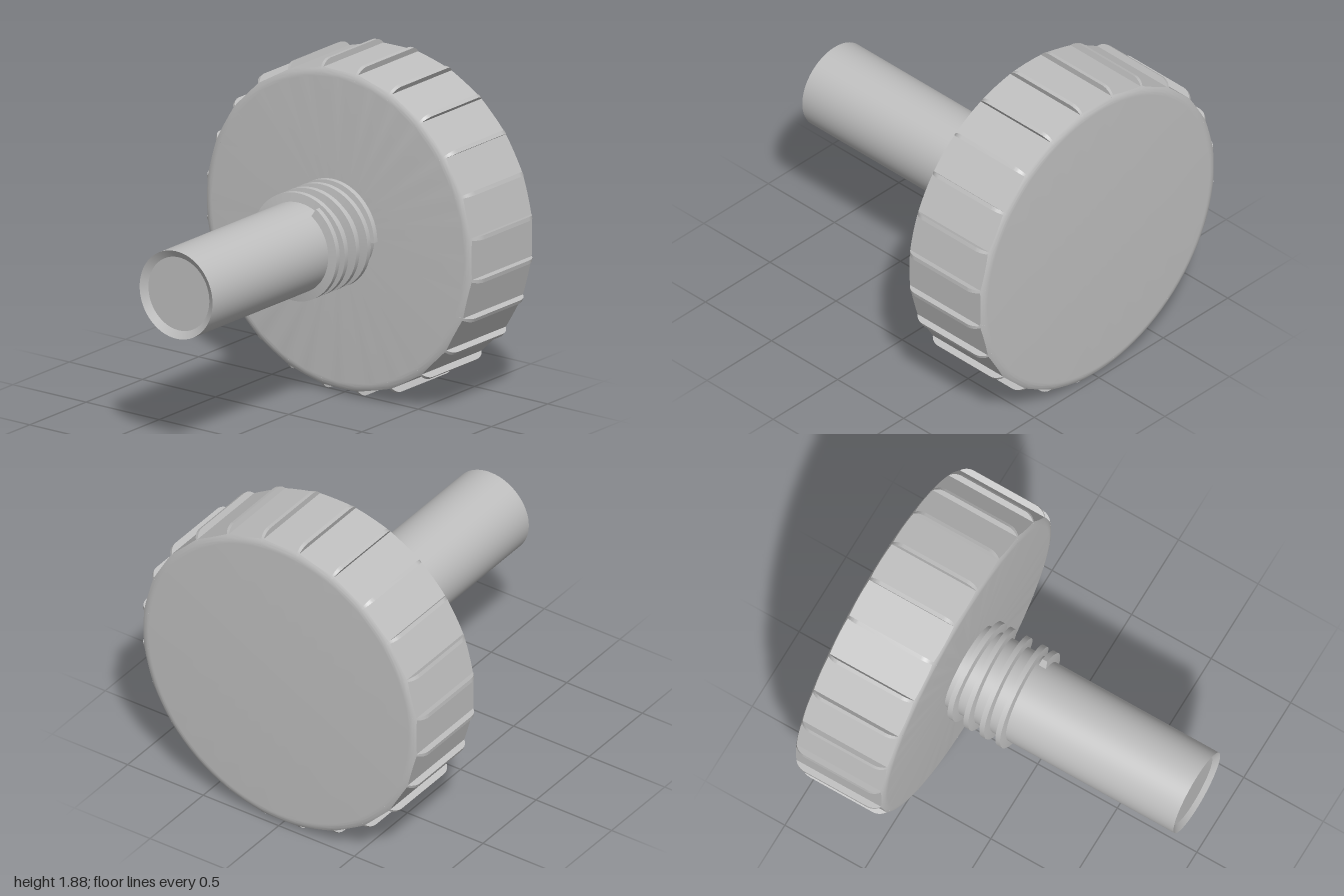
import * as THREE from 'three';
import { toCreasedNormals } from 'three/addons/utils/BufferGeometryUtils.js';

const FRONT = -0.437, BACK = -1;          // knob faces along z
const RIM = 0.945, FILLET = 0.085;        // rounded envelope shared by knob and ribs
const SIDES = 24, STEP = Math.PI * 2 / SIDES;
const APOTHEM = 0.903;

// How far the rounded envelope falls back from the face at radius r
const drop = (r) => {
  const d = Math.max(0, r - (RIM - FILLET));
  return FILLET - Math.sqrt(Math.max(0, FILLET * FILLET - d * d));
};

// Many-sided disc with softly rounded rims
function knobGeometry() {
  const n = 6, flat = RIM - FILLET, pts = [new THREE.Vector2(0, BACK)];
  for (let i = 0; i <= n; i++) pts.push(new THREE.Vector2(flat + i / n, BACK));
  for (let i = n; i >= 0; i--) pts.push(new THREE.Vector2(flat + i / n, FRONT));
  pts.push(new THREE.Vector2(0, FRONT));
  const g = new THREE.LatheGeometry(pts, SIDES * 4);
  const p = g.attributes.position;
  for (let i = 0; i < p.count; i++) {
    const x = p.getX(i), z = p.getZ(i), r0 = Math.hypot(x, z);
    if (r0 < 0.01) continue;
    // pull each ring onto the polygon and drop it along the fillet
    const a = Math.atan2(x, z);
    const limit = APOTHEM / Math.cos(a - Math.round(a / STEP) * STEP);
    const r = flat + (limit - flat) * (r0 - flat);
    const y = p.getY(i) === BACK ? BACK + drop(r) : FRONT - drop(r);
    p.setXYZ(i, Math.sin(a) * r, y, Math.cos(a) * r);
  }
  g.rotateX(Math.PI / 2);
  return toCreasedNormals(g, 0.2);
}

// Thin grip rib, rounded at both ends and slightly wider outside
function ribGeometry() {
  const shape = new THREE.Shape();
  const c = RIM - FILLET, base = 0.87;
  shape.moveTo(BACK + 0.01, base);
  shape.lineTo(FRONT - 0.01, base);
  shape.lineTo(FRONT, c + 0.012);
  shape.absarc(FRONT - FILLET, c, FILLET, 0.14, Math.PI / 2, false);
  shape.absarc(BACK + FILLET, c, FILLET, Math.PI / 2, Math.PI - 0.14, false);
  const g = new THREE.ExtrudeGeometry(shape, { depth: 1, bevelEnabled: false, curveSegments: 8 });
  g.translate(0, 0, -0.5);
  g.rotateY(-Math.PI / 2);                // profile length along z, thickness along x
  const p = g.attributes.position;
  for (let i = 0; i < p.count; i++) {
    const t = (p.getY(i) - 0.9) / (RIM - 0.9);
    p.setX(i, p.getX(i) * (0.013 + 0.01 * t));
  }
  return toCreasedNormals(g, 0.5);
}

// Round shaft with a shallow dished tip
function shaftGeometry() {
  const pts = [[0.249, FRONT - 0.02], [0.249, 1], [0.208, 0.975], [0, 0.975]]
    .map(([r, y]) => new THREE.Vector2(r, y));
  const g = new THREE.LatheGeometry(pts, 64);
  g.rotateX(Math.PI / 2);
  return toCreasedNormals(g, 0.4);
}

// Helical thread: a trapezoid section swept clockwise towards the knob
function threadGeometry() {
  const section = [[0.24, 0.024], [0.299, 0.015], [0.299, -0.015], [0.24, -0.024]];
  const start = -0.91, end = 3.25, steps = 240, pos = [], index = [];
  for (let i = 0; i <= steps; i++) {
    const turn = start + (end - start) * i / steps;
    const a = Math.PI / 2 - turn * Math.PI * 2;
    const z = THREE.MathUtils.clamp(-0.1 - 0.1 * turn, -0.384, -0.05);
    for (const [r, dz] of section) pos.push(Math.cos(a) * r, Math.sin(a) * r, z + dz);
    if (i === steps) break;
    for (let j = 0; j < 4; j++) {
      const k = (j + 1) % 4, o = i * 4;
      index.push(o + j, o + 4 + j, o + k, o + 4 + j, o + 4 + k, o + k);
    }
  }
  const e = steps * 4;
  index.push(0, 1, 2, 0, 2, 3, e, e + 2, e + 1, e, e + 3, e + 2);
  const g = new THREE.BufferGeometry();
  g.setAttribute('position', new THREE.Float32BufferAttribute(pos, 3));
  g.setIndex(index);
  return toCreasedNormals(g, 0.4);
}

export function createModel() {
  const grey = new THREE.MeshStandardMaterial({ color: 0xbfbfbf });
  grey.name = 'grey';
  const model = new THREE.Group();
  model.name = 'thumbScrew';
  const axis = new THREE.Group();
  axis.name = 'screwBody';
  axis.position.y = 0.94;
  model.add(axis);

  const add = (name, geometry, parent = axis) => {
    const mesh = new THREE.Mesh(geometry, grey);
    mesh.name = name;
    parent.add(mesh);
    return mesh;
  };
  add('knob', knobGeometry());
  add('shaft', shaftGeometry());
  add('thread', threadGeometry());

  // Grip ribs on every corner of the knob
  const ribs = new THREE.Group();
  ribs.name = 'gripRibs';
  axis.add(ribs);
  const rib = ribGeometry();
  for (let i = 0; i < SIDES; i++) add('gripRib', rib, ribs).rotation.z = (i + 0.5) * STEP;
  return model;
}
